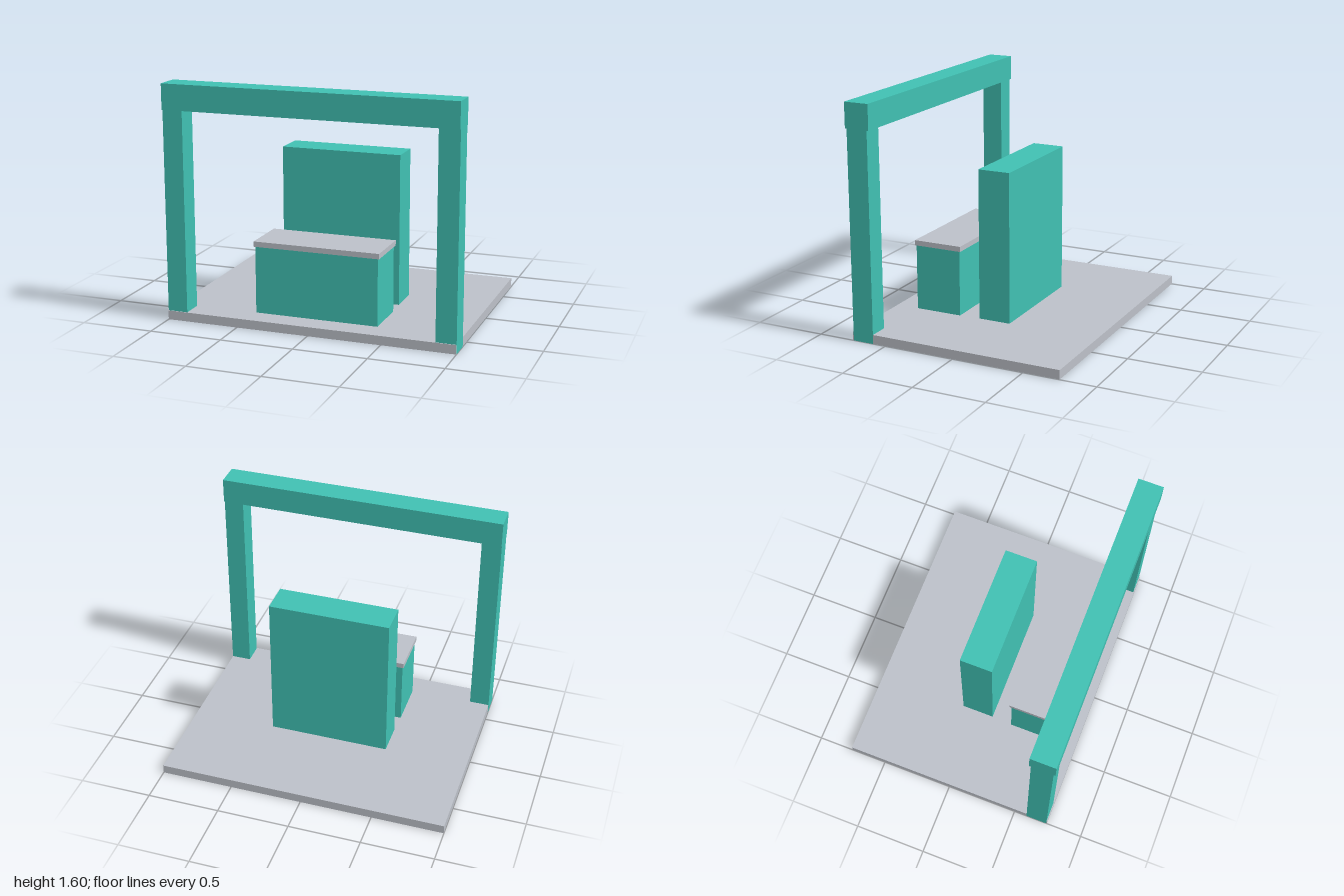
import * as THREE from 'three';

export function createModel() {
  const group = new THREE.Group();
  const teal = new THREE.MeshStandardMaterial({ color: 0x40c0b2 });
  teal.name = 'teal';
  const grey = new THREE.MeshStandardMaterial({ color: 0xbcc0c8 });
  grey.name = 'lightGrey';

  // Box given by its extents along each axis
  function box(name, material, [x0, x1], [y0, y1], [z0, z1]) {
    const mesh = new THREE.Mesh(new THREE.BoxGeometry(x1 - x0, y1 - y0, z1 - z0), material);
    mesh.position.set((x0 + x1) / 2, (y0 + y1) / 2, (z0 + z1) / 2);
    mesh.name = name;
    group.add(mesh);
  }

  // Floor, inset slightly so the post faces stay visible at its edges
  box('floor', grey, [-0.999, 0.999], [0.001, 0.063], [-0.752, 0.746]);

  // Front gateway: two posts running through the floor and a beam on top
  box('leftPost', teal, [0.862, 1], [0, 1.43], [0.591, 0.74]);
  box('rightPost', teal, [-1, -0.862], [0, 1.43], [0.591, 0.74]);
  box('topBeam', teal, [-1, 1], [1.43, 1.603], [0.578, 0.752]);

  // Counter with an overhanging top
  box('counter', teal, [-0.427, 0.427], [0.06, 0.52], [0.254, 0.585]);
  box('counterTop', grey, [-0.437, 0.437], [0.52, 0.556], [0.243, 0.591]);

  // Back panel
  box('backPanel', teal, [-0.42, 0.42], [0.002, 1.103], [-0.118, 0.108]);

  return group;
}
